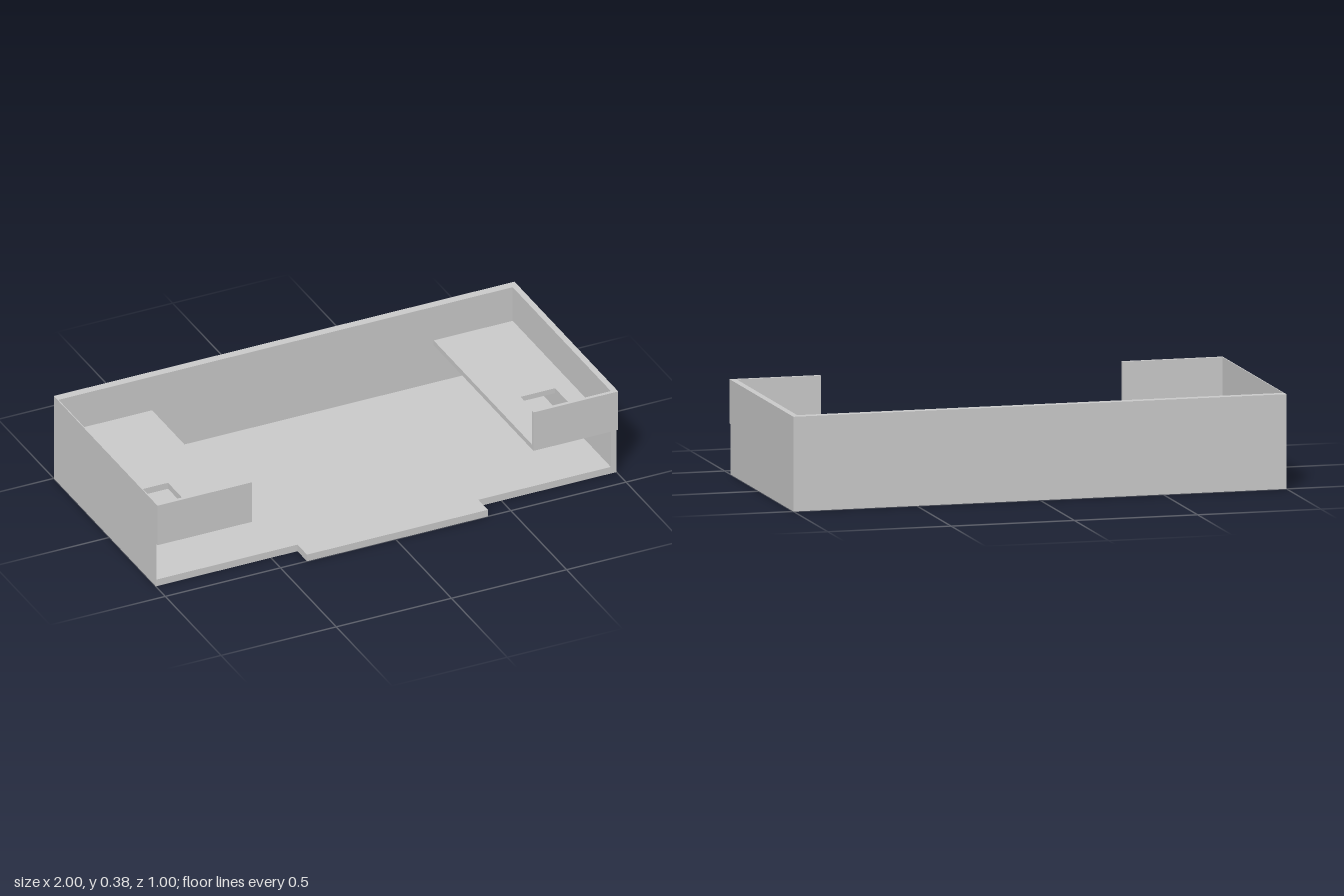
import * as THREE from 'three';

const material = new THREE.MeshStandardMaterial({ color: 0xcccccc, flatShading: true });

export function createModel() {
  const model = new THREE.Group();
  model.name = 'openTray';

  function add(name, geometry) {
    const mesh = new THREE.Mesh(geometry, material);
    mesh.name = name;
    model.add(mesh);
  }

  // Box given by its limits on each axis
  function box(name, x0, x1, y0, y1, z0, z1) {
    const geometry = new THREE.BoxGeometry(x1 - x0, y1 - y0, z1 - z0);
    add(name, geometry.translate((x0 + x1) / 2, (y0 + y1) / 2, (z0 + z1) / 2));
  }

  // Horizontal plate from an outline of (x, z) points, with optional holes
  function plate(name, outline, holes, y0, y1) {
    const toPoints = (list) => list.map(([x, z]) => new THREE.Vector2(x, z));
    const shape = new THREE.Shape(toPoints(outline));
    holes.forEach((h) => shape.holes.push(new THREE.Path(toPoints(h))));
    const geometry = new THREE.ExtrudeGeometry(shape, { depth: y1 - y0, bevelEnabled: false });
    add(name, geometry.rotateX(Math.PI / 2).translate(0, y1, 0));
  }

  const rect = (x0, x1, z0, z1) => [[x0, z0], [x1, z0], [x1, z1], [x0, z1]];

  const top = 0.375, back = -0.5, backInner = -0.465, front = 0.415, lip = 0.43;
  const rightInner = -0.996, leftInner = 0.975;

  // Floor with the tab at the front
  plate('floor', [
    [rightInner, backInner], [leftInner, backInner], [leftInner, front], [0.4, front],
    [0.4, 0.5], [-0.385, 0.5], [-0.385, front], [rightInner, front],
  ], [], 0, 0.03);

  // Outer walls
  box('backWall', -1, 1, 0, top, back, backInner);
  box('rightWall', -1, rightInner, 0, top, backInner, front);
  box('leftWall', leftInner, 1, 0, top, backInner, front);

  // Raised shelves with square openings
  plate('rightShelf', rect(rightInner, -0.59, backInner, front),
    [rect(-0.925, -0.775, 0.06, 0.2)], 0.195, 0.222);
  plate('leftShelf', rect(0.632, leftInner, backInner, front),
    [rect(0.75, 0.9, 0.07, 0.2)], 0.2, 0.222);

  // Front panels closing the shelves
  box('rightFrontPanel', -1, -0.59, 0.195, top, front, lip);
  box('leftFrontPanel', 0.632, 1, 0.2, top, front, lip);

  return model;
}
